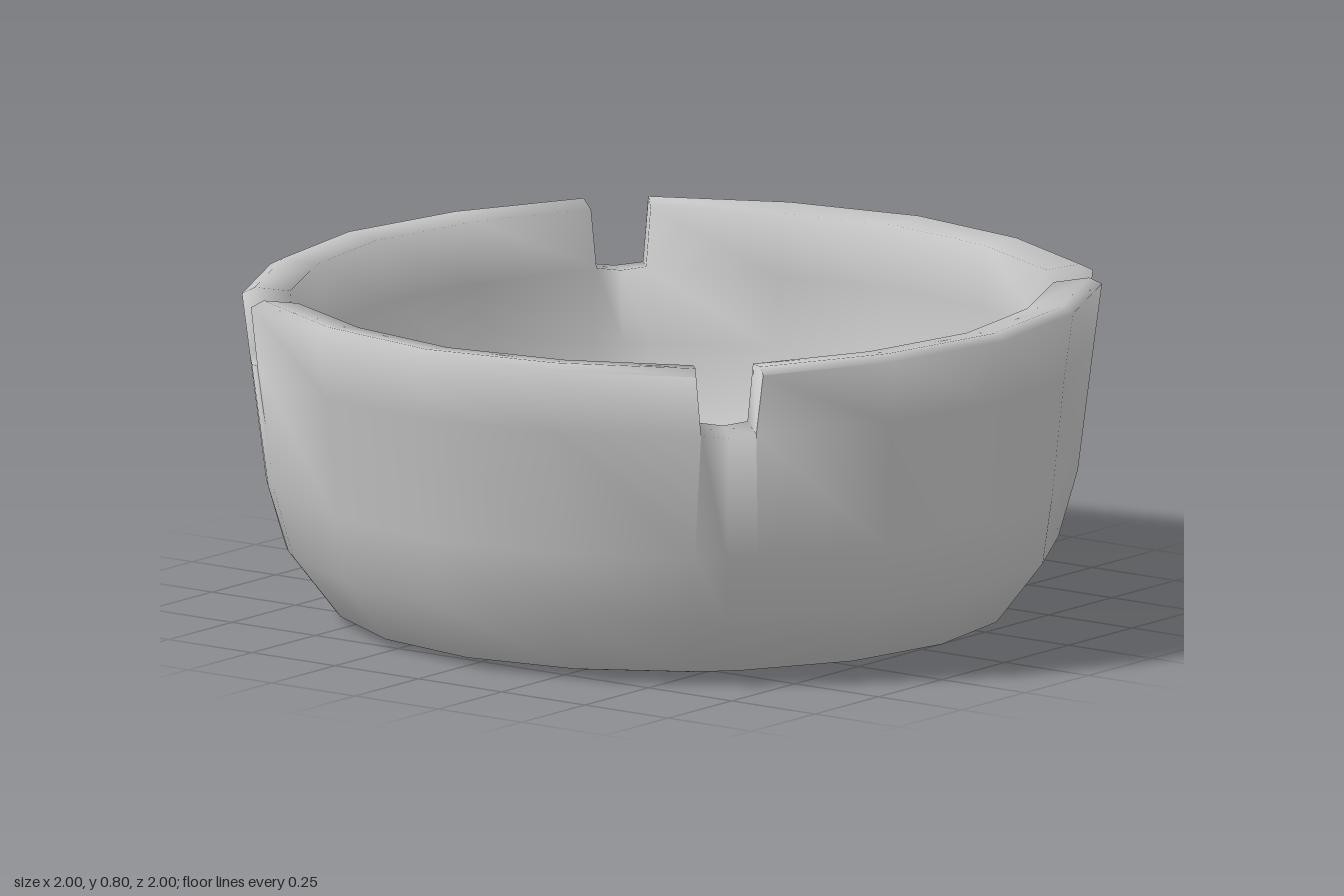
import * as THREE from 'three';
import { toCreasedNormals } from 'three/addons/utils/BufferGeometryUtils.js';

// Cross-section [radius, height, swell at the diagonals], from the open foot round to the floor
const BOWL = [
  [0.675, 0, 0], [0.73, 0.003, 0], [0.81, 0.02, 0],                 // foot
  [0.925, 0.17, 0], [0.947, 0.33, 0.028], [0.978, 0.63, 0.036],     // outer wall
  [1.0, 0.785, 0.032], [0.97, 0.8, 0.032], [0.885, 0.79, 0.036],    // rim
  [0.868, 0.64, 0.045], [0.82, 0.47, 0.07], [0.72, 0.3, 0.09],      // inner wall
  [0.55, 0.17, 0.04], [0.3, 0.15, 0], [0, 0.145, 0],                // floor
];
const LOW_OUT = 5, LOW_IN = 9;                 // rows where the notches end
const STEPS = [0, 20.5, 40.5, 45, 49.5, 69.5]; // column angles in each quarter
const COLUMNS = STEPS.length * 4;

// Point of a profile row on a column
function point(row, col) {
  const c = col % COLUMNS, k = c % STEPS.length;
  const [radius, height, swell] = BOWL[row];
  const notchCorner = (row === LOW_OUT || row === LOW_IN) && (k === 2 || k === 4);
  const step = notchCorner ? 45 + (STEPS[k] - 45) * 0.84 : STEPS[k];
  const a = THREE.MathUtils.degToRad(step + 90 * Math.floor(c / STEPS.length));
  // The lower inside is squarer, the outside swells only near the diagonals
  const r = radius * (1 + swell * Math.pow(Math.abs(Math.sin(2 * a)), row > LOW_IN ? 2 : 8));
  const y = notchCorner ? height + 0.008 : height;
  return new THREE.Vector3(r * Math.cos(a), y, r * Math.sin(a));
}

function bowlGeometry() {
  const positions = [];
  const tri = (a, b, c) => {
    const area = b.clone().sub(a).cross(c.clone().sub(a)).length();
    if (area > 1e-8) for (const p of [a, b, c]) positions.push(p.x, p.y, p.z);
  };
  // Quad between two rows over one column
  const quad = (r0, r1, col) => {
    const a = point(r0, col), b = point(r0, col + 1);
    const c = point(r1, col + 1), d = point(r1, col);
    tri(a, d, c);
    tri(a, c, b);
  };

  for (let col = 0; col < COLUMNS; col++) {
    const k = col % STEPS.length, inNotch = k === 2 || k === 3;
    for (let row = 0; row < BOWL.length - 1; row++) {
      if (!(inNotch && row >= LOW_OUT && row < LOW_IN)) quad(row, row + 1, col);
    }
    // Notch floor
    if (inNotch) quad(LOW_OUT, LOW_IN, col);
    // Notch side walls
    if (k === 2 || k === 4) {
      for (let row = LOW_OUT + 1; row < LOW_IN; row++) {
        const [a, b, c] = [LOW_OUT, row, row + 1].map((r) => point(r, col));
        if (k === 2) tri(a, b, c); else tri(a, c, b);
      }
    }
  }
  const geometry = new THREE.BufferGeometry();
  geometry.setAttribute('position', new THREE.Float32BufferAttribute(positions, 3));
  return toCreasedNormals(geometry, 1.75);
}

export function createModel() {
  const group = new THREE.Group();
  group.name = 'ashtray';
  // Both sides show, as the hollow shell is open underneath
  const grey = new THREE.MeshStandardMaterial({ color: 0xc4c4c4, side: THREE.DoubleSide });
  grey.name = 'light grey';
  const bowl = new THREE.Mesh(bowlGeometry(), grey);
  bowl.name = 'notchedBowl';
  group.add(bowl);
  return group;
}
